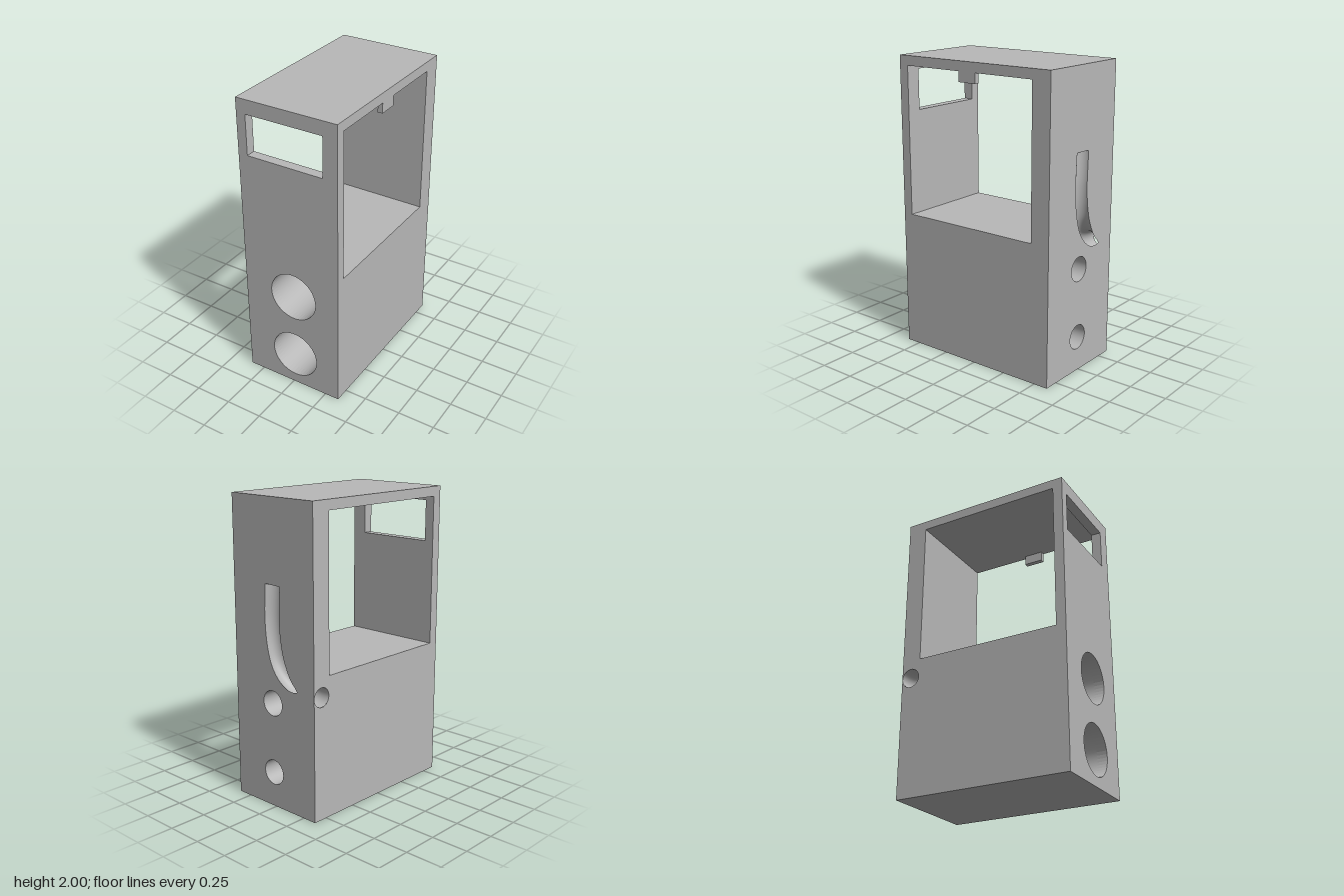
import * as THREE from 'three';
import { ParametricGeometry } from 'three/addons/geometries/ParametricGeometry.js';

const HX = 0.35, H = 2, HZ = 0.6;                                  // outer block
const Z0 = -0.467, Z1 = 0.533, Y0 = 0.935, Y1 = 1.935;             // chamber opening
const BORE_X = 0.015, BORE_Y = [0.235, 0.703], BIG = 0.168, SMALL = 0.083, STEP_Z = -0.07;
const R = 0.063;                                                   // curved channel radius

const rect = (P, x0, y0, x1, y1) => {
  const p = new P();
  p.moveTo(x0, y0).lineTo(x1, y0).lineTo(x1, y1).lineTo(x0, y1).closePath();
  return p;
};
const circle = (x, y, r) => new THREE.Path().absarc(x, y, r, 0, Math.PI * 2, true);

export function createModel() {
  const group = new THREE.Group();
  const grey = new THREE.MeshStandardMaterial({ color: 0xb8b8b8, side: THREE.DoubleSide });
  grey.name = 'light grey';
  const add = (name, geometry, x = 0, y = 0, z = 0) => {
    const mesh = new THREE.Mesh(geometry, grey);
    mesh.name = name;
    mesh.position.set(x, y, z);
    group.add(mesh);
    return mesh;
  };

  // Front wall with display window and two bore mouths
  const front = rect(THREE.Shape, -HX, 0, HX, H);
  front.holes.push(rect(THREE.Path, -0.285, 1.635, 0.25, 1.905));
  BORE_Y.forEach((y) => front.holes.push(circle(BORE_X, y, BIG)));
  add('frontWall', new THREE.ExtrudeGeometry(front,
    { depth: HZ - Z1, bevelEnabled: false, curveSegments: 24 }), 0, 0, Z1);

  // Stepped bores running through to the back
  const tube = (r, z0, z1) => new THREE.CylinderGeometry(r, r, z1 - z0, 48, 1, true)
    .rotateX(Math.PI / 2).translate(0, 0, (z0 + z1) / 2);
  BORE_Y.forEach((y) => {
    add('wideBore', tube(BIG, STEP_Z, Z1), BORE_X, y);
    add('boreShoulder', new THREE.RingGeometry(SMALL, BIG, 48), BORE_X, y, STEP_Z);
    add('narrowBore', tube(SMALL, -HZ, STEP_Z), BORE_X, y);
  });

  // Curved channel: runs down the back, sinks in and leaves through the side
  const path = new THREE.CatmullRomCurve3([
    [0, 1.465, -0.6], [0.008, 1.23, -0.6], [-0.01, 1.07, -0.593], [-0.045, 0.96, -0.578],
    [-0.115, 0.867, -0.552], [-0.2, 0.825, -0.537], [-0.28, 0.811, -0.535], [-HX, 0.81, -0.535],
  ].map((p) => new THREE.Vector3(...p)));
  const section = (t) => {
    const c = path.getPoint(t), d = path.getTangent(t);
    const n = new THREE.Vector3(-d.y, d.x, 0).normalize();
    const sink = Math.asin(Math.min(1, Math.max(0, (c.z + HZ) / R)));
    return { c, n, sink };
  };
  const channelPoint = (t, v, target) => {
    const { c, n, sink } = section(t);
    const a = -sink + v * (Math.PI + 2 * sink);
    target.copy(c).addScaledVector(n, R * Math.cos(a));
    target.z += R * Math.sin(a);
  };
  add('curvedChannel', new ParametricGeometry(channelPoint, 100, 32));
  const cap = new THREE.Shape().absarc(0, 0, R, 0, Math.PI, false);
  add('channelEnd', new THREE.ShapeGeometry(cap, 16).rotateX(Math.PI / 2), 0, 1.465, -HZ);

  // Back face with the slot outline where the channel breaks the surface
  const sideA = [], sideB = [];
  for (let i = 0; i <= 100; i++) {
    const { c, n, sink } = section(i / 100);
    const w = R * Math.cos(sink);
    sideA.push(new THREE.Vector2(-c.x - n.x * w, c.y + n.y * w));
    if (w < 1e-4) break;
    sideB.unshift(new THREE.Vector2(-c.x + n.x * w, c.y - n.y * w));
  }
  const back = rect(THREE.Shape, -HX, 0, HX, H);
  back.holes.push(new THREE.Path([...sideA, ...sideB]));
  BORE_Y.forEach((y) => back.holes.push(circle(-BORE_X, y, SMALL)));
  add('backFace', new THREE.ShapeGeometry(back, 24).rotateY(Math.PI), 0, 0, -HZ);

  // Side faces with the large opening; one also has the channel outlet
  for (const s of [1, -1]) {
    const side = rect(THREE.Shape, -HZ, 0, HZ, H);
    side.holes.push(rect(THREE.Path, Math.min(-s * Z0, -s * Z1), Y0, Math.max(-s * Z0, -s * Z1), Y1));
    if (s < 0) side.holes.push(circle(-0.535, 0.81, R));
    add(s > 0 ? 'leftFace' : 'rightFace',
      new THREE.ShapeGeometry(side, 24).rotateY(s * Math.PI / 2), s * HX);
  }

  // Top, bottom and chamber surfaces
  const flat = (name, y, z0, z1, up) => add(name,
    new THREE.PlaneGeometry(HX * 2, z1 - z0).rotateX(up * -Math.PI / 2), 0, y, (z0 + z1) / 2);
  flat('topFace', H, -HZ, HZ, 1);
  flat('bottomFace', 0, -HZ, HZ, -1);
  flat('chamberFloor', Y0, Z0, Z1, 1);
  flat('chamberCeiling', Y1, Z0, Z1, -1);
  add('chamberBack', new THREE.PlaneGeometry(HX * 2, Y1 - Y0), 0, (Y0 + Y1) / 2, Z0);

  // Small catch hanging from the edge of the opening
  add('catchTab', new THREE.BoxGeometry(0.033, 0.067, 0.133), HX - 0.0165, Y1 - 0.0335, 0.033);

  return group;
}
